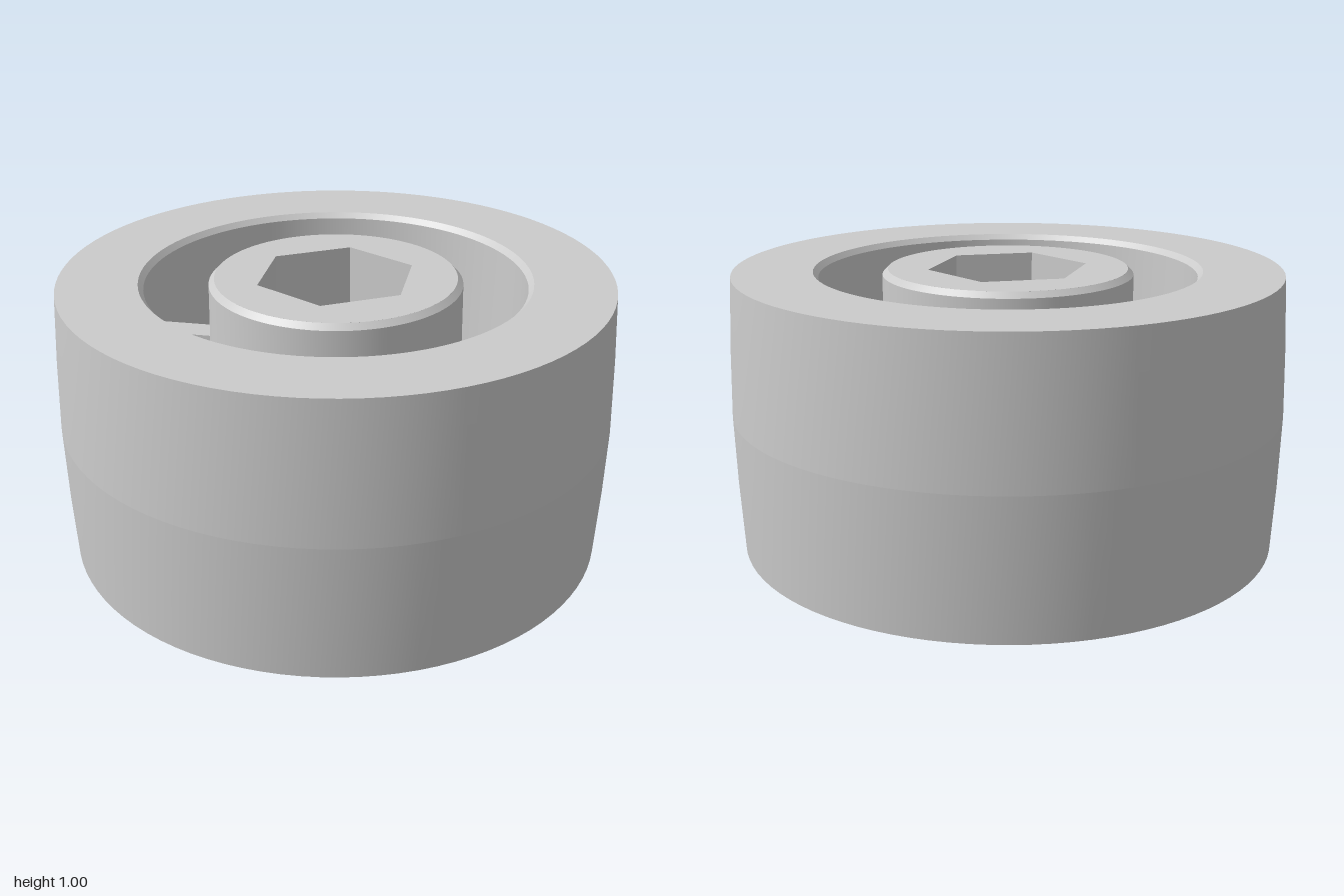
import * as THREE from 'three';

const SEGMENTS = 96;
const material = new THREE.MeshStandardMaterial({ color: 0xcccccc });
const HUB_FACE = 0.43, END_RADIUS = 0.98, FLOOR = 0.2, FILLET = 0.09;

// One smooth surface of revolution; separate bands keep the edges between them sharp
function band(name, points) {
  const profile = points.map(([r, y]) => new THREE.Vector2(r, y));
  const mesh = new THREE.Mesh(new THREE.LatheGeometry(profile, SEGMENTS), material);
  mesh.name = name;
  return mesh;
}

// Quarter-round between wall and floor, as [radius, height] points
function fillet(cx, from, to) {
  const points = [];
  for (let i = 0; i <= 8; i++) {
    const a = from + (to - from) * i / 8;
    points.push([cx + FILLET * Math.cos(a), FLOOR + FILLET + FILLET * Math.sin(a)]);
  }
  return points;
}

export function createModel() {
  const group = new THREE.Group();
  group.name = 'wheel';

  // Crowned tread, widest at half height
  group.add(band('bottomFace', [[HUB_FACE - 0.01, 0], [END_RADIUS, 0]]));
  group.add(band('lowerTread', [[END_RADIUS, 0], [0.993, 0.25], [1, 0.5]]));
  group.add(band('upperTread', [[1, 0.5], [0.993, 0.75], [END_RADIUS, 1]]));
  group.add(band('topFace', [[END_RADIUS, 1], [0.695, 1]]));

  // Annular recess with rounded floor and chamfered lips
  group.add(band('rimChamfer', [[0.695, 1], [0.677, 0.98]]));
  group.add(band('recess', [
    [0.677, 0.98],
    ...fillet(0.665 - FILLET, 0, -Math.PI / 2),
    ...fillet(0.46 + FILLET, -Math.PI / 2, -Math.PI),
    [0.45, 0.98],
  ]));
  group.add(band('hubChamfer', [[0.45, 0.98], [HUB_FACE, 1]]));

  // Hub core with a hexagonal bore right through
  const core = new THREE.Shape();
  core.absarc(0, 0, HUB_FACE, 0, Math.PI * 2);
  const bore = new THREE.Path();
  for (let i = 0; i < 6; i++) {
    const a = -i * Math.PI / 3, x = 0.29 * Math.cos(a), y = 0.29 * Math.sin(a);
    if (i) bore.lineTo(x, y); else bore.moveTo(x, y);
  }
  bore.closePath();
  core.holes.push(bore);
  const coreGeometry = new THREE.ExtrudeGeometry(core, { depth: 1, bevelEnabled: false, curveSegments: SEGMENTS });
  coreGeometry.rotateX(-Math.PI / 2);
  const hub = new THREE.Mesh(coreGeometry, material);
  hub.name = 'hub';
  group.add(hub);

  // Six drafted ribs between hub and rim
  const section = new THREE.Shape([
    new THREE.Vector2(-0.062, FLOOR - 0.02), new THREE.Vector2(0.062, FLOOR - 0.02),
    new THREE.Vector2(0.05, 0.75), new THREE.Vector2(-0.05, 0.75),
  ]);
  const ribGeometry = new THREE.ExtrudeGeometry(section, { depth: 0.25, bevelEnabled: false });
  ribGeometry.translate(0, 0, 0.44);
  for (let i = 0; i < 6; i++) {
    const rib = new THREE.Mesh(ribGeometry, material);
    rib.name = 'rib' + (i + 1);
    rib.rotation.y = i * Math.PI / 3;
    group.add(rib);
  }
  return group;
}
